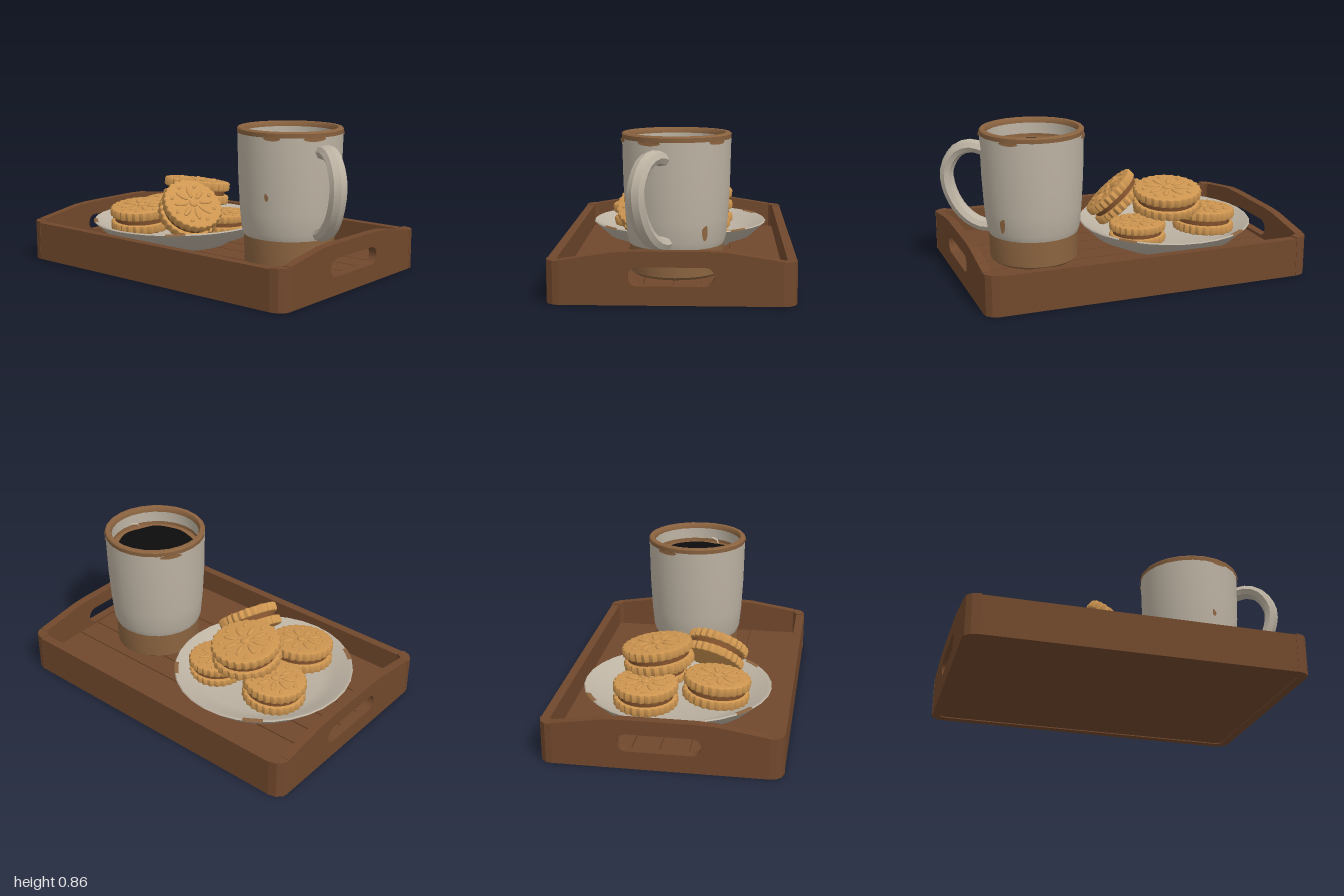
import * as THREE from 'three';
import { toCreasedNormals } from 'three/addons/utils/BufferGeometryUtils.js';

const mat = (name, color, side = THREE.FrontSide) => {
  const m = new THREE.MeshStandardMaterial({ color, side });
  m.name = name;
  return m;
};

export function createModel() {
  const wood = mat('wood', 0x71482c);
  const ceramic = mat('ceramic', 0xbdb3a3, THREE.DoubleSide);
  const glaze = mat('brown glaze', 0x8c6440, THREE.DoubleSide);
  const coffee = mat('coffee', 0x0d0d0d);
  const dough = mat('biscuit', 0xcd9550);
  const cream = mat('biscuit filling', 0x80502c);

  const model = new THREE.Group();
  model.name = 'breakfastTray';
  const group = (name, parent = model) => {
    const g = new THREE.Group();
    g.name = name;
    parent.add(g);
    return g;
  };
  const add = (parent, name, geo, material, x = 0, y = 0, z = 0) => {
    const m = new THREE.Mesh(geo, material);
    m.name = name;
    m.position.set(x, y, z);
    parent.add(m);
    return m;
  };
  const v2 = (pts) => pts.map(([x, y]) => new THREE.Vector2(x, y));
  const lathe = (pts, n, crease = 0.7) => toCreasedNormals(new THREE.LatheGeometry(v2(pts), n), crease);

  // ---- Tray: centred on x = -0.04
  const tray = group('tray');
  tray.position.x = -0.04;
  add(tray, 'trayBase', new THREE.BoxGeometry(1.84, 0.06, 1.24), wood, 0, 0.036, 0);
  const cuts = [-0.608, -0.31, -0.16, -0.01, 0.15, 0.3, 0.608];
  for (let i = 0; i < cuts.length - 1; i++) {
    const w = cuts[i + 1] - cuts[i];
    add(tray, 'floorPlank', new THREE.BoxGeometry(1.82, 0.02, w - 0.008), wood, 0, 0.074, cuts[i] + w / 2);
  }

  // End wall with raised middle and a rounded hand hole
  const end = new THREE.Shape(v2([[-0.585, 0], [0.585, 0], [0.585, 0.235], [0.3, 0.28], [0.2, 0.285],
    [-0.2, 0.285], [-0.3, 0.28], [-0.585, 0.235]]));
  const hole = new THREE.Path();
  hole.absarc(0.175, 0.152, 0.05, -Math.PI / 2, Math.PI / 2, false);
  hole.absarc(-0.175, 0.152, 0.05, Math.PI / 2, Math.PI * 1.5, false);
  end.holes.push(hole);
  const endGeo = new THREE.ExtrudeGeometry(end, { depth: 0.05, bevelEnabled: false, curveSegments: 6 });
  endGeo.translate(0, 0, -0.025).rotateY(Math.PI / 2);

  // Corner post outline for one quadrant, mirrored by reversing the points
  const cornerPts = [[0.96, 0.58], [0.953, 0.615], [0.925, 0.645], [0.88, 0.657], [0.87, 0.605], [0.895, 0.595], [0.91, 0.58]];
  for (const s of [-1, 1]) {
    add(tray, 'endWall', endGeo, wood, s * 0.933, 0, 0);
    add(tray, 'longWall', new THREE.BoxGeometry(1.77, 0.225, 0.05), wood, 0, 0.1125, s * 0.63);
    for (const t of [-1, 1]) {
      const pts = cornerPts.map(([x, z]) => [s * x, t * z]);
      const geo = new THREE.ExtrudeGeometry(new THREE.Shape(v2(pts)),
        { depth: 0.232, bevelEnabled: false });
      geo.rotateX(-Math.PI / 2);
      add(tray, 'cornerPost', geo, wood);
    }
  }

  // ---- Plate
  const plate = group('plate');
  plate.position.set(-0.37, 0.084, 0);
  plate.scale.z = 1.04;
  add(plate, 'plateBowl', lathe([[0, 0], [0.3, 0], [0.32, 0.02], [0.43, 0.06], [0.517, 0.143], [0.512, 0.15],
    [0.495, 0.145], [0.42, 0.095], [0.34, 0.07], [0, 0.065]], 32, 0.9), ceramic);
  // Worn glaze patches along the rim
  for (const a of [0.6, 2.2, 3.6, 5.5]) {
    const geo = new THREE.LatheGeometry(v2([[0.519, 0.143], [0.513, 0.153], [0.493, 0.147]]), 5, a, 0.22);
    add(plate, 'rimWear', geo, glaze);
  }

  // ---- Sandwich biscuits
  const RIDGES = 26;
  const scallop = new THREE.Shape();
  for (let i = 0; i < RIDGES * 4; i++) {
    const a = (i / (RIDGES * 4)) * Math.PI * 2;
    const r = 0.93 + 0.03 * Math.cos(a * RIDGES);
    scallop[i ? 'lineTo' : 'moveTo'](r * Math.cos(a), r * Math.sin(a));
  }
  const wafer = new THREE.ExtrudeGeometry(scallop, {
    depth: 0.15, bevelEnabled: true, bevelSize: 0.05, bevelThickness: 0.07, bevelSegments: 2 });
  wafer.translate(0, 0, -0.075).rotateX(-Math.PI / 2);
  const waferGeo = toCreasedNormals(wafer, 0.6);
  const bump = new THREE.SphereGeometry(1, 8, 6);

  const biscuit = (name, x, y, z, r, normal, spin, thick = 1) => {
    const g = group(name);
    g.position.set(x, y, z);
    g.quaternion.setFromUnitVectors(new THREE.Vector3(0, 1, 0), new THREE.Vector3(...normal).normalize());
    g.rotateY(spin);
    g.scale.set(r, 0.185 * thick, r);
    add(g, 'topWafer', waferGeo, dough, 0, 0.22, 0);
    add(g, 'bottomWafer', waferGeo, dough, 0, -0.22, 0);
    add(g, 'filling', new THREE.CylinderGeometry(0.88, 0.88, 0.24, 24), cream);
    // Pressed flower with a centre knob, eight petals and a ring of studs
    add(g, 'flowerCentre', bump, dough, 0, 0.365, 0).scale.set(0.15, 0.06, 0.15);
    for (let i = 0; i < 8; i++) {
      const a = (i / 8) * Math.PI * 2;
      const p = add(g, 'petal', bump, dough, 0.44 * Math.cos(a), 0.365, -0.44 * Math.sin(a));
      p.scale.set(0.24, 0.05, 0.085);
      p.rotation.y = a;
      const b = a + Math.PI / 8;
      add(g, 'stud', bump, dough, 0.72 * Math.cos(b), 0.365, -0.72 * Math.sin(b)).scale.set(0.06, 0.045, 0.1);
    }
  };
  biscuit('frontBiscuit', -0.465, 0.265, 0.235, 0.187, [0.03, 1, 0.1], 0.2);
  biscuit('backRightBiscuit', -0.565, 0.25, -0.15, 0.18, [-0.05, 1, 0.02], 0.5);
  biscuit('backLeftBiscuit', -0.135, 0.215, -0.145, 0.165, [0, 1, 0], 0.1, 0.85);
  biscuit('topBiscuit', -0.335, 0.39, -0.12, 0.2, [0.03, 1, -0.14], 0.3);
  biscuit('leaningBiscuit', -0.118, 0.335, 0.185, 0.18, [0.62, 0.72, 0.24], 0.4);

  // ---- Mug
  const mug = group('mug');
  mug.position.set(0.465, 0, -0.012);
  add(mug, 'mugFoot', lathe([[0, 0.084], [0.235, 0.084], [0.255, 0.1], [0.26, 0.25]], 24), glaze);
  add(mug, 'mugBody', lathe([[0.26, 0.25], [0.272, 0.285], [0.283, 0.4], [0.293, 0.58], [0.299, 0.83]], 24), ceramic);
  add(mug, 'mugRim', lathe([[0.299, 0.828], [0.301, 0.852], [0.294, 0.86], [0.272, 0.86], [0.264, 0.848],
    [0.263, 0.83]], 24), glaze);
  add(mug, 'mugInside', lathe([[0.263, 0.83], [0.262, 0.765]], 24), ceramic);
  add(mug, 'innerStain', lathe([[0.262, 0.765], [0.261, 0.745], [0, 0.745]], 24), glaze);

  // Coffee with a slightly wavy edge
  const pool = new THREE.Shape();
  for (let i = 0; i < 36; i++) {
    const a = (i / 36) * Math.PI * 2;
    const r = 0.225 + 0.005 * Math.sin(a * 5) + 0.004 * Math.cos(a * 8);
    pool[i ? 'lineTo' : 'moveTo'](r * Math.cos(a), r * Math.sin(a));
  }
  add(mug, 'coffee', new THREE.ShapeGeometry(pool).rotateX(-Math.PI / 2), coffee, 0, 0.75, 0);

  // Drips below the rim and worn spots on the side: [angle from +z to +x, y, width, height]
  for (const [a, y, w, h] of [[0.3, 0.823, 0.05, 0.012], [1.1, 0.822, 0.07, 0.014], [2.4, 0.823, 0.06, 0.012],
    [4.2, 0.822, 0.07, 0.013], [0.18, 0.5, 0.013, 0.025], [2.18, 0.345, 0.018, 0.05], [1.32, 0.75, 0.03, 0.035]]) {
    const r = 0.2785 + 0.027 * Math.min(1, (y - 0.345) / 0.48);
    const geo = new THREE.CircleGeometry(1, 12).scale(w, h, 1);
    const p = geo.attributes.position;
    for (let i = 0; i < p.count; i++) {
      const t = p.getX(i) / r;
      p.setXYZ(i, r * Math.sin(t), p.getY(i), r * Math.cos(t));
    }
    geo.computeVertexNormals();
    add(mug, 'wornSpot', geo, glaze, 0, y, 0).rotation.y = a;
  }

  // Ear-shaped handle, turned towards the front
  const handle = group('mugHandle');
  handle.position.set(0.72, 0, 0.05);
  handle.rotation.y = -0.56;
  const path = new THREE.CatmullRomCurve3([[0, 0.735], [0.08, 0.755], [0.17, 0.725], [0.238, 0.61], [0.222, 0.48],
    [0.15, 0.36], [0.05, 0.295], [-0.06, 0.29]].map(([u, y]) => new THREE.Vector3(u, y, 0)));
  add(handle, 'handleLoop', toCreasedNormals(new THREE.TubeGeometry(path, 18, 0.04, 8), 0.5), ceramic).scale.z = 1.3;

  return model;
}
